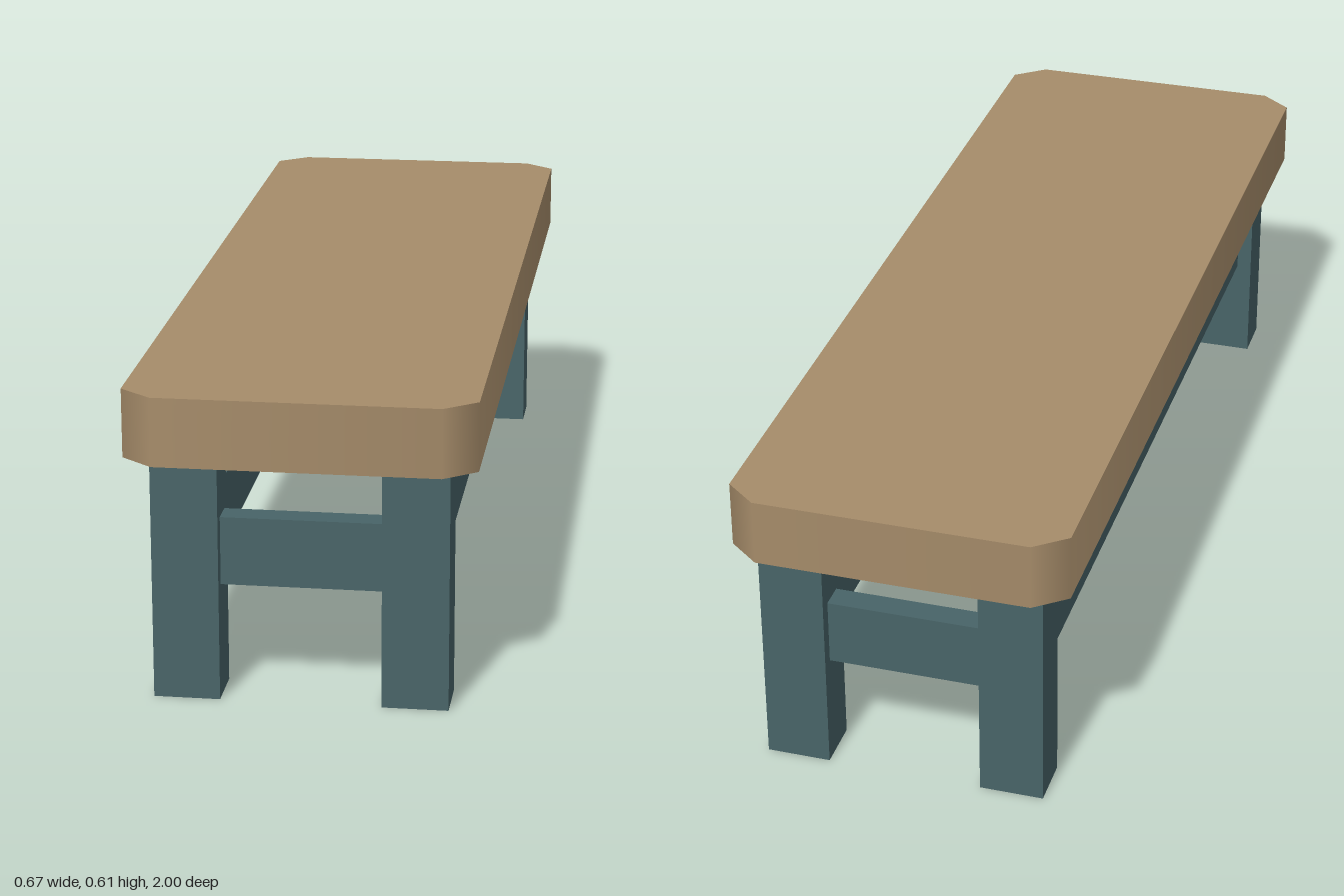
import * as THREE from 'three';

export function createModel() {
  const wood = new THREE.MeshStandardMaterial({ name: 'tanWood', color: 0xa68c6a });
  const paint = new THREE.MeshStandardMaterial({ name: 'tealPaint', color: 0x486468 });
  const bench = new THREE.Group();
  bench.name = 'bench';

  const addBox = (name, w, h, d, x, y, z) => {
    const mesh = new THREE.Mesh(new THREE.BoxGeometry(w, h, d), paint);
    mesh.name = name;
    mesh.position.set(x, y, z);
    bench.add(mesh);
  };

  // Seat: slab with cut corners
  const X = 0.333, Z = 1, cx = 0.063, cz = 0.05;
  const outline = [
    [X - cx, -Z], [X, cz - Z], [X, Z - cz], [X - cx, Z],
    [cx - X, Z], [-X, Z - cz], [-X, cz - Z], [cx - X, -Z],
  ].map(([x, z]) => new THREE.Vector2(x, z));
  const seatGeo = new THREE.ExtrudeGeometry(new THREE.Shape(outline), { depth: 0.134, bevelEnabled: false });
  seatGeo.rotateX(-Math.PI / 2);

  // Blend the normals around the rim, keeping top and bottom flat
  const pos = seatGeo.attributes.position, nor = seatGeo.attributes.normal;
  const corner = new THREE.Vector3(), side = new THREE.Vector3();
  for (let i = 0; i < pos.count; i++) {
    if (Math.abs(nor.getY(i)) > 0.5) continue;
    const x = pos.getX(i), z = pos.getZ(i);
    corner.set(Math.sign(x) * cz, 0, Math.sign(z) * cx).normalize();
    if (Math.abs(x) > X - 0.01) side.set(Math.sign(x), 0, 0);
    else side.set(0, 0, Math.sign(z));
    corner.add(side).normalize();
    nor.setXYZ(i, corner.x, 0, corner.z);
  }
  const seat = new THREE.Mesh(seatGeo, wood);
  seat.name = 'seat';
  seat.position.y = 0.475;
  bench.add(seat);

  // Legs and the rails centred between them
  const legX = 0.218, legZ = 0.905, railY = 0.291, railH = 0.134;
  for (const s of [-1, 1]) {
    const lr = s > 0 ? 'left' : 'right', fb = s > 0 ? 'front' : 'back';
    addBox(lr + 'FrontLeg', 0.127, 0.475, 0.102, s * legX, 0.2375, legZ);
    addBox(lr + 'BackLeg', 0.127, 0.475, 0.102, s * legX, 0.2375, -legZ);
    addBox(lr + 'SideRail', 0.063, railH, 1.708, s * legX, railY, 0);
    addBox(fb + 'EndRail', 0.309, railH, 0.051, 0, railY, s * legZ);
  }
  return bench;
}
